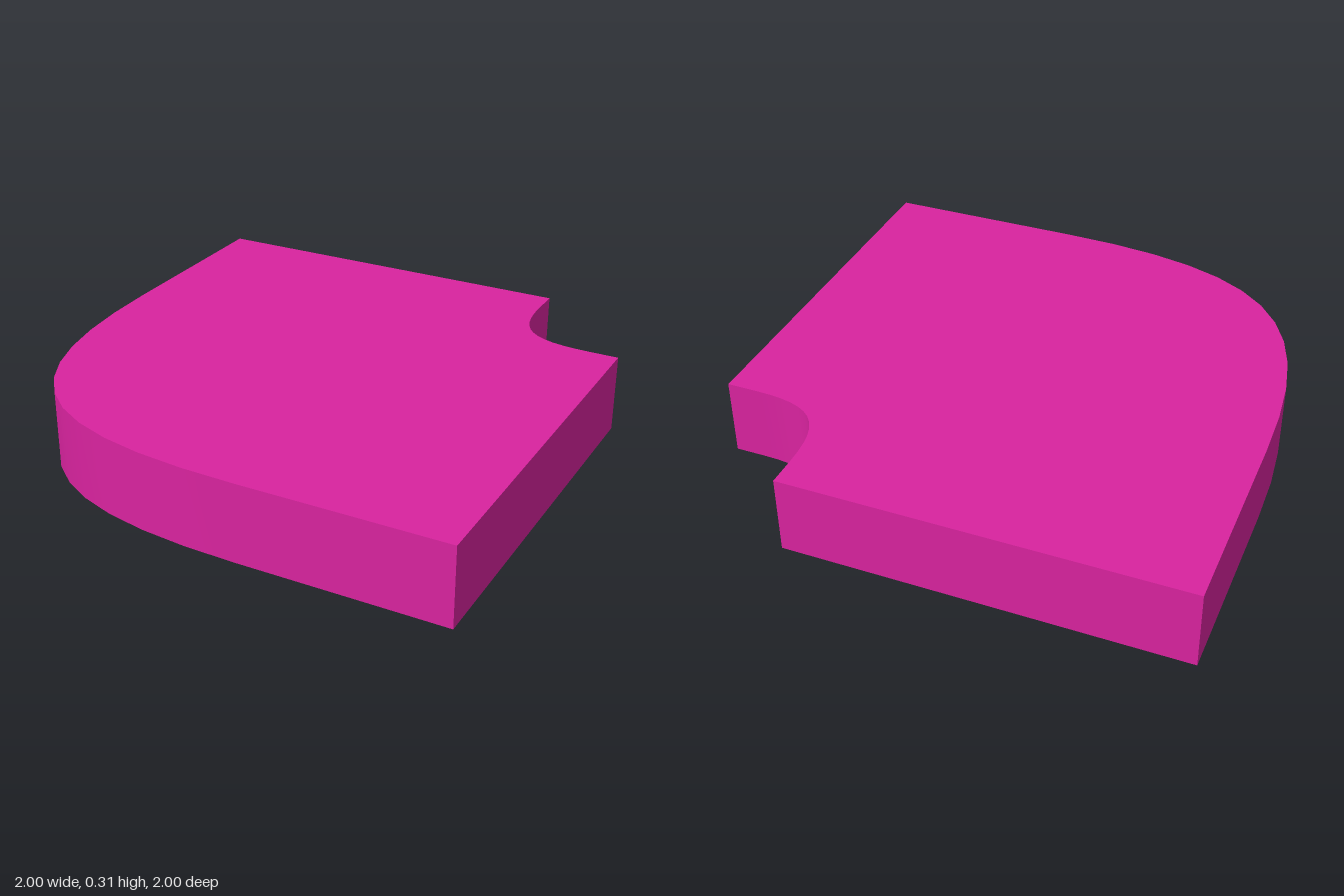
import * as THREE from 'three';
import { toCreasedNormals } from 'three/addons/utils/BufferGeometryUtils.js';

const HEIGHT = 0.31;
const NOTCH = 0.555;   // notch walls
const SOFTNESS = 0.756; // how far the handles reach toward the corner

// Rounds the corner (cx, cy) from the current point to (ex, ey)
function roundCorner(shape, cx, cy, ex, ey) {
  const { x, y } = shape.currentPoint;
  const mix = THREE.MathUtils.lerp;
  shape.bezierCurveTo(
    mix(x, cx, SOFTNESS), mix(y, cy, SOFTNESS),
    mix(ex, cx, SOFTNESS), mix(ey, cy, SOFTNESS),
    ex, ey
  );
}

export function createModel() {
  const group = new THREE.Group();
  group.name = 'cornerSlab';

  // Plan outline, with shape y pointing to the back (-z)
  const plan = new THREE.Shape();
  plan.moveTo(-1, 1);
  plan.lineTo(-1, 0.2);
  roundCorner(plan, -1, -1, 0.2, -1); // large outer corner
  plan.lineTo(1, -1);
  plan.lineTo(1, NOTCH);
  plan.lineTo(0.88, NOTCH);
  roundCorner(plan, NOTCH - 0.005, NOTCH, NOTCH - 0.005, 0.88); // small inner notch
  plan.lineTo(NOTCH - 0.005, 1);
  plan.closePath();

  // Slab laid flat on the ground, smooth around the curves
  const geometry = new THREE.ExtrudeGeometry(plan, {
    depth: HEIGHT, bevelEnabled: false, curveSegments: 12,
  });
  geometry.rotateX(-Math.PI / 2);

  const slab = new THREE.Mesh(
    toCreasedNormals(geometry, Math.PI / 6),
    new THREE.MeshStandardMaterial({ color: 0xd9239f })
  );
  slab.name = 'slab';
  group.add(slab);
  return group;
}
